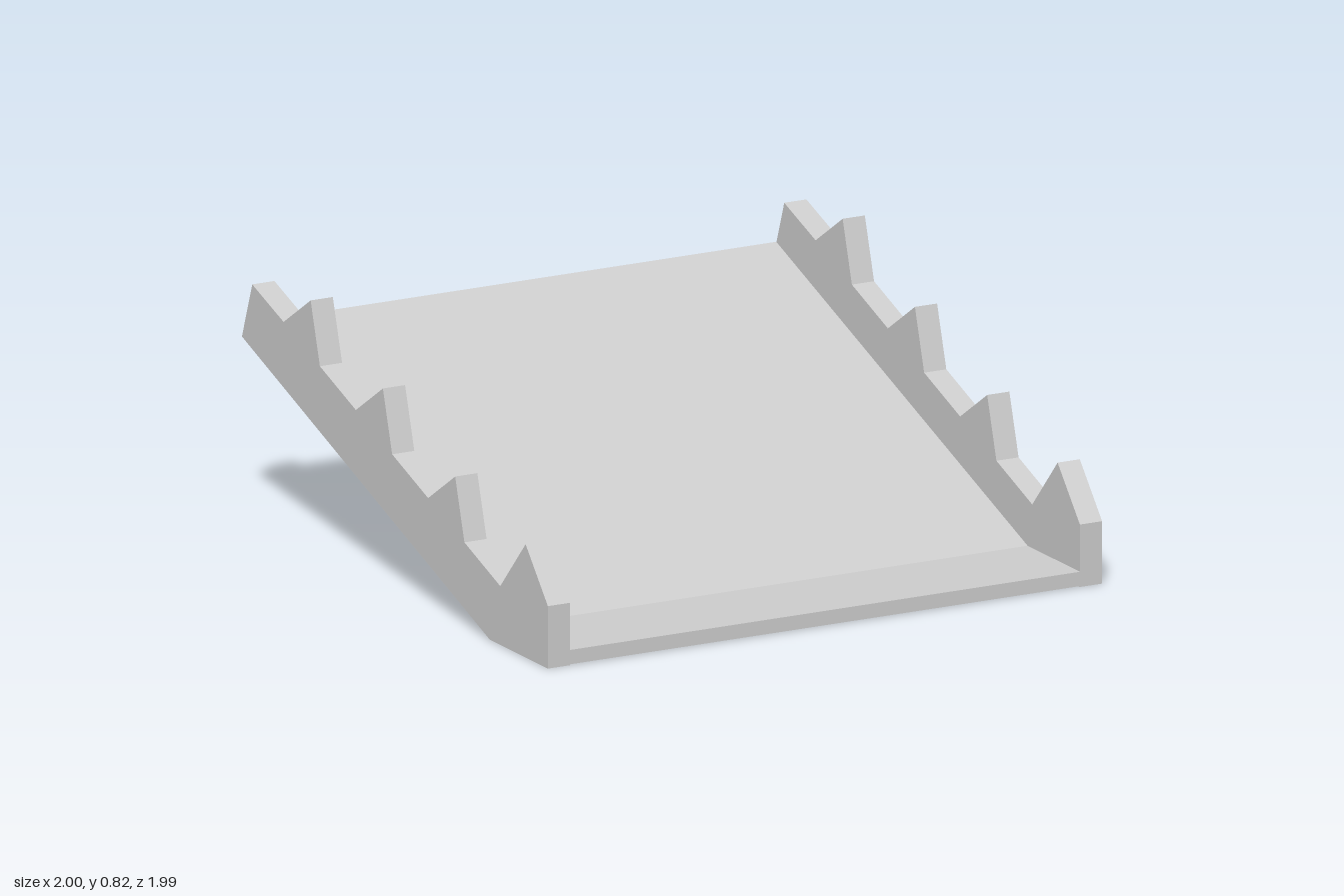
import * as THREE from 'three';

const material = new THREE.MeshStandardMaterial({ color: 0xcccccc, flatShading: true });

// Extrudes a side profile of [z, y] points across the width, centred on x
function profilePart(name, points, width, x) {
  const shape = new THREE.Shape(points.map(([z, y]) => new THREE.Vector2(z, y)));
  const geometry = new THREE.ExtrudeGeometry(shape, { depth: width, bevelEnabled: false });
  geometry.translate(0, 0, -width / 2);
  geometry.rotateY(-Math.PI / 2);
  const mesh = new THREE.Mesh(geometry, material);
  mesh.name = name;
  mesh.position.x = x;
  return mesh;
}

export function createModel() {
  const model = new THREE.Group();
  model.name = 'slopedTray';

  // Thin deck: flat lip at the front, then rising to the back
  const deck = [
    [0.995, 0.003], [0.995, 0.05], [0.655, 0.05],
    [-0.98, 0.637], [-0.995, 0.593], [0.617, 0.003],
  ];
  model.add(profilePart('deck', deck, 1.84, 0));

  // Toothed side wall: front tooth, three repeated teeth, raised back end
  const wall = [[0.617, 0], [0.995, 0], [0.995, 0.205], [0.85, 0.372], [0.685, 0.193]];
  for (let i = 0; i < 3; i++) {
    const z = -0.47 * i, y = 0.171 * i;
    wall.push([0.452 + z, 0.278 + y], [0.392 + z, 0.479 + y], [0.216 + z, 0.364 + y]);
  }
  wall.push([-0.928, 0.778], [-0.995, 0.59]);

  for (const [name, side] of [['leftWall', 1], ['rightWall', -1]]) {
    model.add(profilePart(name, wall, 0.08, side * 0.96));
  }
  return model;
}
